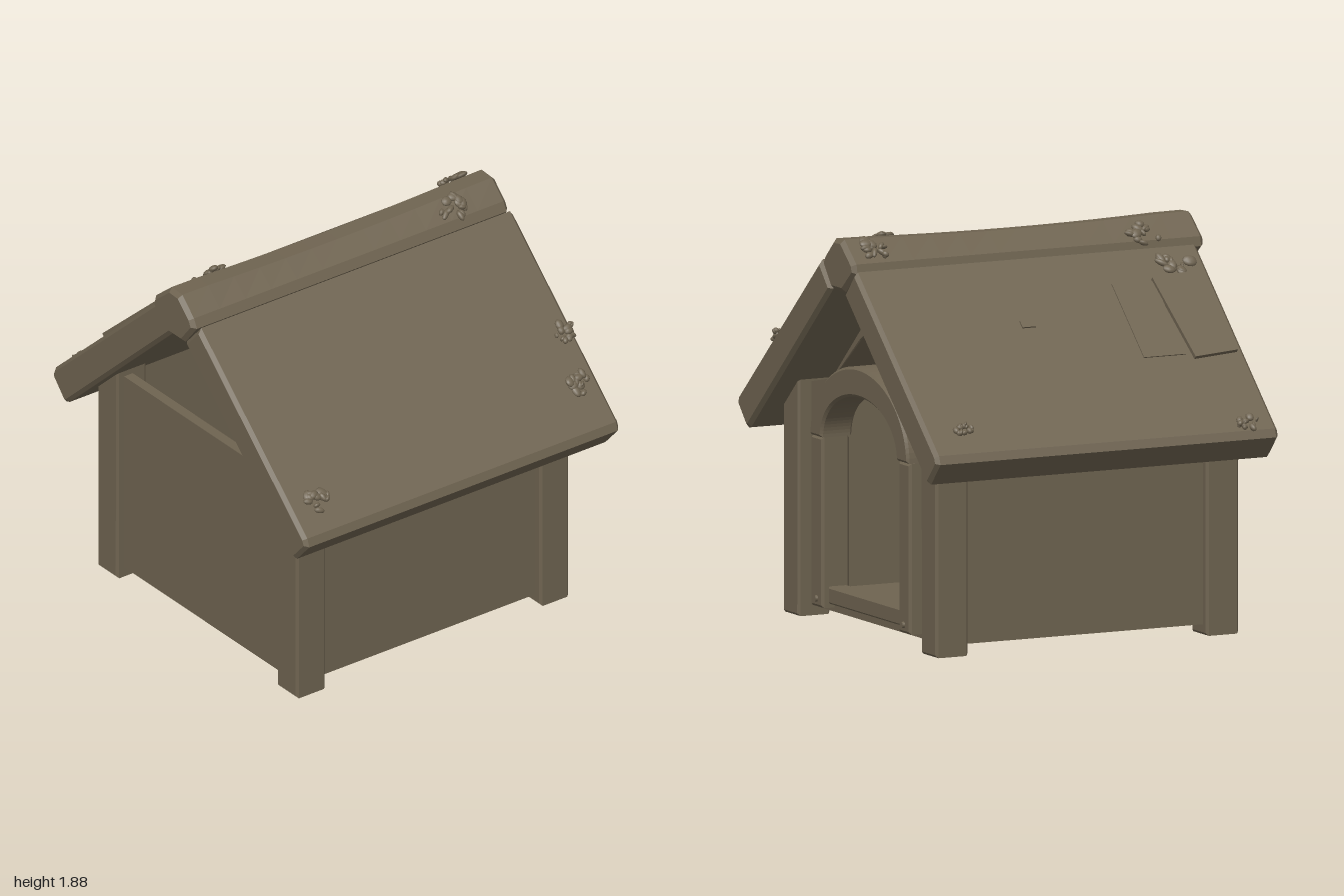
import * as THREE from 'three';
import { mergeGeometries } from 'three/addons/utils/BufferGeometryUtils.js';

const wood = new THREE.MeshStandardMaterial({ color: 0x6e6350 });
wood.name = 'weatheredWood';
const SLOPE = 0.735; // roof pitch in radians

// small seeded generator for the moss
let seed = 7;
const rnd = (a, b) => {
  seed = (seed * 16807) % 2147483647;
  return a + (b - a) * (seed / 2147483647);
};

function add(parent, name, geo) {
  const m = new THREE.Mesh(geo, wood);
  m.name = name;
  parent.add(m);
  return m;
}

const outline = pts => new THREE.Shape(pts.map(([z, y]) => new THREE.Vector2(-z, y)));

// sweeps a (z, y) outline along x, with chamfered end edges
function prism(shape, x0, x1, bevel = 0.012, steps = 1) {
  const geo = new THREE.ExtrudeGeometry(shape, {
    depth: x1 - x0 - 2 * bevel, steps, curveSegments: 24,
    bevelEnabled: bevel > 0, bevelSize: bevel, bevelThickness: bevel, bevelOffset: -bevel, bevelSegments: 1
  });
  geo.rotateY(Math.PI / 2);
  geo.translate(x0 + bevel, 0, 0);
  return geo;
}

// height of the roof underside at distance z from the ridge
const under = z => 1.62 - (z - 0.06) * 0.917;

// half-ellipse ring or arched opening pieces
function arc(path, rx, ry, y, clockwise) {
  path.absellipse(0, y, rx, ry, clockwise ? Math.PI : 0, clockwise ? 0 : Math.PI, clockwise, 0);
}

function addMoss(group, x, y, z, tilt, size) {
  const bits = [];
  for (let i = 0; i < 13; i++) {
    const r = rnd(0.2, 0.42) * size;
    const g = new THREE.IcosahedronGeometry(1, 1);
    g.scale(r, 0.014, r * rnd(0.4, 0.9));
    g.rotateX(rnd(-0.22, 0.22));
    g.rotateY(rnd(0, 6.28));
    const a = rnd(0, 6.28), d = size * Math.sqrt(rnd(0, 0.8));
    g.translate(d * Math.cos(a), rnd(0, 0.012), d * Math.sin(a) * 0.75);
    bits.push(g);
  }
  const m = add(group, 'mossPatch', mergeGeometries(bits));
  m.position.set(x, y, z);
  m.rotation.x = tilt;
}

export function createModel() {
  const house = new THREE.Group();
  house.name = 'kennel';

  // floor slab
  add(house, 'floor', new THREE.BoxGeometry(1.46, 0.06, 1.42)).position.set(-0.02, 0.08, 0);

  // corner posts and long walls, mirrored front to back
  for (const s of [1, -1]) {
    const post = [[0.612, 0], [0.768, 0], [0.768, under(0.768) + 0.02], [0.612, under(0.612) + 0.01]];
    for (const [x0, x1] of [[0.61, 0.778], [-0.8, -0.63]]) {
      add(house, 'cornerPost', prism(outline(post.map(([z, y]) => [s * z, y])), x0, x1));
    }
    const wall = [[0.67, 0.05], [0.73, 0.05], [0.73, under(0.73) + 0.02], [0.67, under(0.67) + 0.02]];
    add(house, 'sideWall', prism(outline(wall.map(([z, y]) => [s * z, y])), -0.72, 0.7, 0));
  }

  // plain end wall
  add(house, 'backWall', new THREE.BoxGeometry(0.05, 1.02, 1.36)).position.set(-0.735, 0.56, 0);

  // end wall with the arched doorway
  const doorWall = outline([[0.64, 0.05], [-0.64, 0.05], [-0.64, 1.09], [0, 1.225], [0.64, 1.09]]);
  const hole = new THREE.Path();
  hole.moveTo(-0.39, 0.17);
  hole.lineTo(0.39, 0.17);
  hole.lineTo(0.39, 0.87);
  arc(hole, 0.39, 0.25, 0.87, false);
  hole.closePath();
  doorWall.holes.push(hole);
  add(house, 'doorWall', prism(doorWall, 0.65, 0.71, 0));

  // door frame: arch, jambs, pegs and sill
  const frame = new THREE.Group();
  frame.name = 'doorFrame';
  house.add(frame);
  const ring = new THREE.Shape();
  ring.moveTo(0.49, 0.87);
  arc(ring, 0.49, 0.38, 0.87, false);
  ring.lineTo(-0.375, 0.87);
  arc(ring, 0.375, 0.24, 0.87, true);
  ring.closePath();
  add(frame, 'doorArch', prism(ring, 0.62, 0.785, 0.012));
  for (const s of [1, -1]) {
    const jamb = outline([[s * 0.38, 0.07], [s * 0.495, 0.07], [s * 0.495, 0.87], [s * 0.38, 0.87]]);
    add(frame, 'doorJamb', prism(jamb, 0.63, 0.775));
    const peg = add(frame, 'peg', new THREE.CylinderGeometry(0.014, 0.016, 0.02, 12));
    peg.rotation.z = -Math.PI / 2;
    peg.position.set(0.777, 0.11, s * 0.435);
  }
  add(frame, 'doorSill', prism(outline([[-0.38, 0.09], [0.38, 0.09], [0.38, 0.17], [-0.38, 0.17]]), 0.65, 0.745, 0.008));

  // roof slabs
  const slab = [[0.06, 1.62], [0.17, 1.742], [0.985, 0.995], [1.0, 0.955], [0.905, 0.85], [0.88, 0.858]];
  add(house, 'frontRoof', prism(outline(slab), -0.92, 0.9, 0.018));
  add(house, 'rearRoof', prism(outline(slab.map(([z, y]) => [-z, y - 0.01])), -0.89, 0.895, 0.018));

  // brace board under the front slope
  add(house, 'roofBrace',
    prism(outline([[0.3, 1.42], [0.3, 1.34], [0.34, 1.315], [0.64, 1.07], [0.64, 1.12]]), -0.6, 0.6, 0.005));

  // ridge beam, sagging slightly in the middle
  const ridge = prism(outline([[0.06, 1.62], [0.148, 1.73], [0.125, 1.775], [0.035, 1.86],
    [-0.045, 1.865], [-0.165, 1.765], [-0.175, 1.72], [-0.06, 1.62]]), -0.93, 0.9, 0.02, 12);
  const p = ridge.attributes.position;
  for (let i = 0; i < p.count; i++) {
    const x = p.getX(i);
    if (p.getY(i) > 1.8) p.setY(i, p.getY(i) - 0.016 * Math.max(0, 1 - (x / 0.8) ** 2));
  }
  ridge.computeVertexNormals();
  add(house, 'ridgeBeam', ridge);

  // loose shingles and a splinter on the rear slope
  const rear = z => 1.732 - (-z - 0.17) * 0.917;
  const shingle = (name, x, z, w, h, lift, turn) => {
    const g = new THREE.BoxGeometry(w, 0.03, h);
    g.rotateY(turn);
    const m = add(house, name, g);
    m.position.set(x, rear(z) + lift, z);
    m.rotation.x = -0.742;
  };
  shingle('looseShingle', -0.715, -0.48, 0.23, 0.48, 0.006, 0.09);
  shingle('flushShingle', -0.48, -0.47, 0.22, 0.44, -0.013, 0);
  shingle('splinter', 0.14, -0.45, 0.07, 0.04, -0.01, 0);

  // moss: x, z, size on the two slopes
  const front = z => 1.742 - (z - 0.17) * 0.917;
  for (const [x, z, s] of [[-0.75, 0.88, 0.09], [0.85, 0.63, 0.065], [0.8, 0.82, 0.08]]) {
    addMoss(house, x, front(z), z, SLOPE, s);
  }
  for (const [x, z, s] of [[-0.73, -0.25, 0.09], [-0.75, -0.95, 0.06], [0.7, -0.88, 0.05]]) {
    addMoss(house, x, rear(z), z, -SLOPE, s);
  }
  // moss on the ridge
  addMoss(house, 0.6, 1.815, 0.09, SLOPE, 0.085);
  addMoss(house, 0.75, 1.82, -0.11, -SLOPE, 0.085);
  addMoss(house, -0.63, 1.79, -0.14, -SLOPE, 0.085);

  return house;
}
